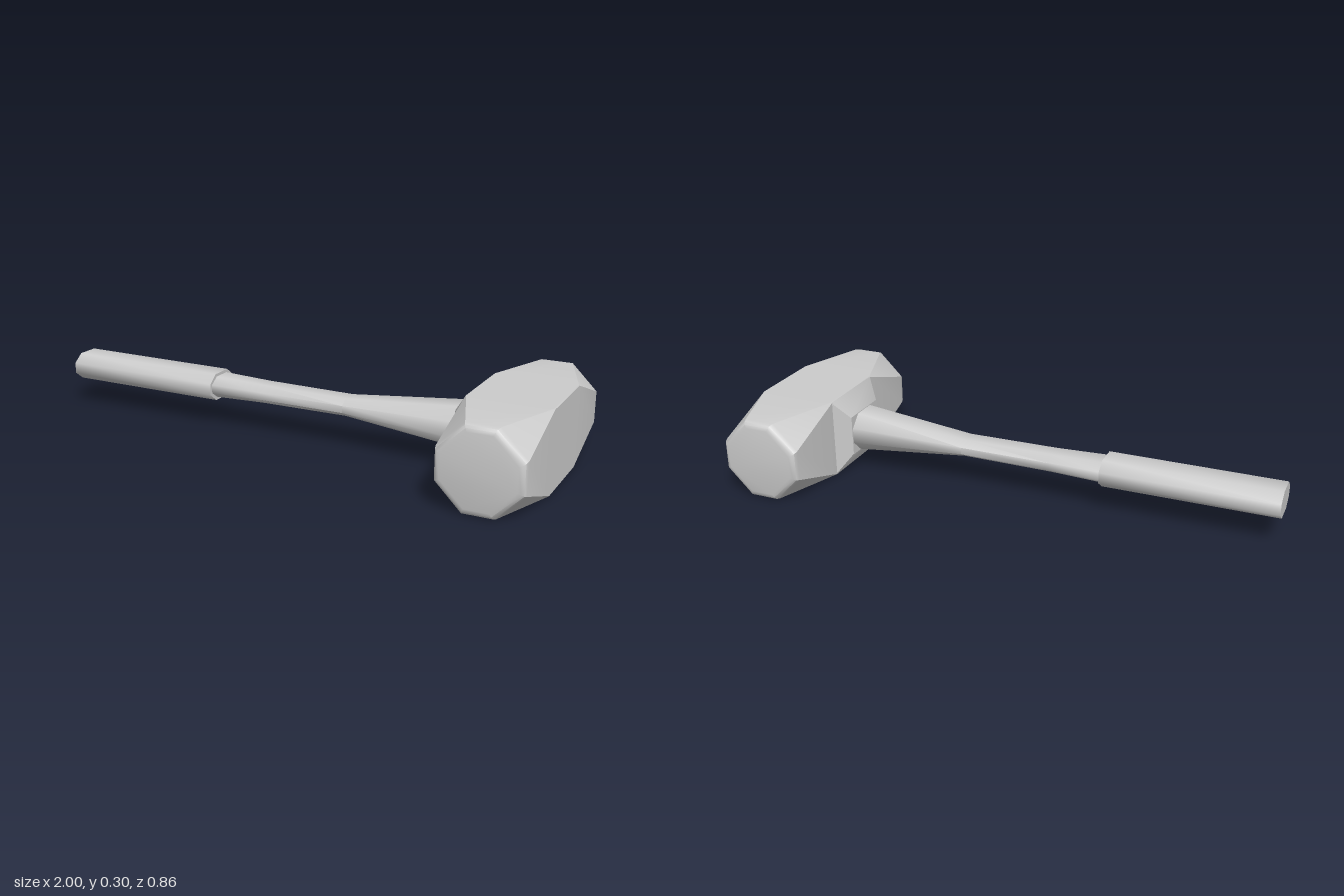
import * as THREE from 'three';
import { toCreasedNormals } from 'three/addons/utils/BufferGeometryUtils.js';

const MID_Y = 0.153;

// Eight-sided outline: half sizes hu, hv with corners cut by cu, cv
function octagon(hu, hv, cu, cv) {
  return [
    [hu, -hv + cv], [hu, hv - cv], [hu - cu, hv], [-hu + cu, hv],
    [-hu, hv - cv], [-hu, -hv + cv], [-hu + cu, -hv], [hu - cu, -hv],
  ];
}

// Skin a list of equal-length rings and close both ends
function loft(rings, crease) {
  const n = rings[0].length, pos = [];
  const tri = (...pts) => pts.forEach((p) => pos.push(p.x, p.y, p.z));
  for (let i = 0; i < rings.length - 1; i++) {
    for (let j = 0; j < n; j++) {
      const k = (j + 1) % n;
      const a = rings[i][j], b = rings[i][k], c = rings[i + 1][k], d = rings[i + 1][j];
      tri(a, b, c);
      tri(a, c, d);
    }
  }
  const first = rings[0], last = rings[rings.length - 1];
  for (let j = 1; j < n - 1; j++) {
    tri(first[0], first[j + 1], first[j]);
    tri(last[0], last[j], last[j + 1]);
  }
  const g = new THREE.BufferGeometry();
  g.setAttribute('position', new THREE.Float32BufferAttribute(pos, 3));
  return toCreasedNormals(g, crease);
}

// Rings stacked along x (outline in y, z) or along z (outline in x, y)
const ringX = (x, hy, hz, cy, cz) =>
  octagon(hy, hz, cy, cz).map(([y, z]) => new THREE.Vector3(x, MID_Y + y, z));
const ringZ = (z, h, c) =>
  octagon(h, h, c, c).map(([x, y]) => new THREE.Vector3(0.848 + x, MID_Y + y, z));

export function createModel() {
  const group = new THREE.Group();
  const material = new THREE.MeshStandardMaterial({ color: 0xcccccc });
  const add = (name, geometry) => {
    const mesh = new THREE.Mesh(geometry, material);
    mesh.name = name;
    group.add(mesh);
  };

  // Head: square in the middle, corners cut away toward softly rounded striking faces
  const half = [
    [0.148, 0.152, 0.003], [0.405, 0.152, 0.094], [0.42, 0.148, 0.095],
    [0.428, 0.14, 0.092], [0.431, 0.128, 0.085],
  ];
  const headRings = [
    ...half.slice().reverse().map(([z, h, c]) => ringZ(-z, h, c)),
    ...half.map(([z, h, c]) => ringZ(z, h, c)),
  ];
  add('hammerHead', loft(headRings, 0.6));

  // Tapered collar where the handle enters the head
  add('headCollar', loft([
    ringX(0.645, 0.078, 0.098, 0.003, 0.003),
    ringX(0.697, 0.151, 0.148, 0.003, 0.003),
    ringX(0.72, 0.151, 0.148, 0.003, 0.003),
  ], 0.5));

  // Handle shaft: slim waist flaring toward the head
  const shaft = [
    [-0.36, 0.041, 0.07], [-0.15, 0.035, 0.063], [0.2, 0.033, 0.062],
    [0.66, 0.077, 0.093],
  ];
  add('handleShaft', loft(
    shaft.map(([x, hy, hz]) => ringX(x, hy, hz, hy * 0.6, hz * 0.5)), 1.0));

  // Thicker grip sleeve
  add('grip', loft(
    [-1, -0.35].map((x) => ringX(x, 0.052, 0.082, 0.031, 0.04)), 1.0));

  return group;
}
